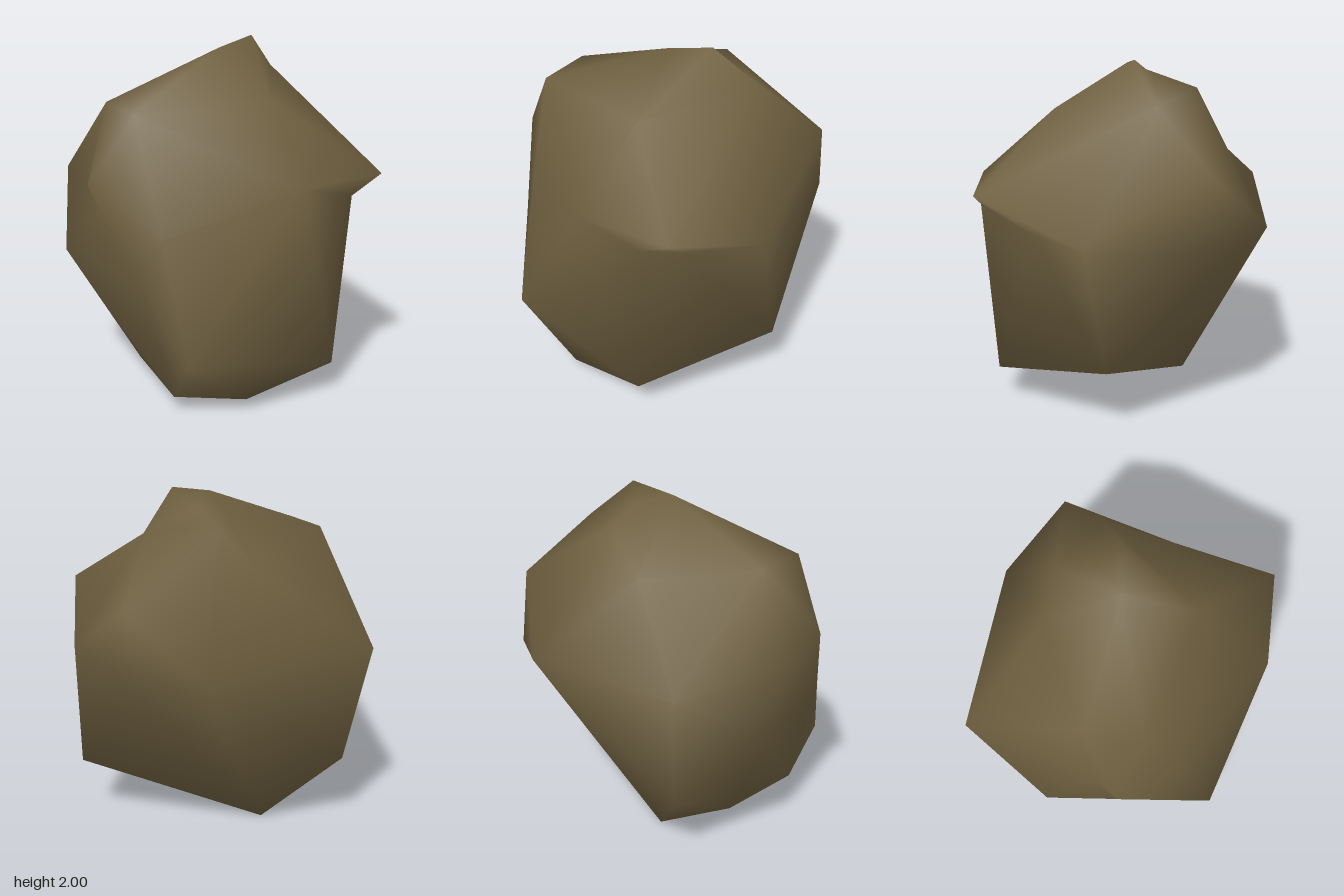
import * as THREE from 'three';
import { mergeVertices } from 'three/addons/utils/BufferGeometryUtils.js';
import { ConvexGeometry } from 'three/addons/geometries/ConvexGeometry.js';

// Corners of the boulder
const corners = [
  // crown, with shallow dips behind the peak
  [0.29, 2.0, -0.09], [0.05, 1.95, 0], [0.49, 1.79, -0.25], [0.11, 1.83, -0.41],
  [-0.64, 1.69, 0.04], [-0.58, 1.68, 0.37], [0.18, 1.9, -0.18], [-0.1, 1.59, -0.4],
  [0.2, 1.7, 0.39],
  // overhanging front ledge and the hollow below it
  [0.2, 1.31, 0.83], [0.74, 1.31, 0.7], [0.85, 1.07, 0.07],
  [0.54, 1.21, 0.73], [0.58, 1.06, 0.42],
  // back and +x side
  [0.69, 1.46, -0.59], [0.65, 1.05, -0.67], [0.3, 1.1, -0.84], [0.85, 0.39, -0.05],
  // -x side with its notch, and the two ridges down to the front foot
  [-0.7, 1.16, -0.67], [-0.83, 1.3, 0.3], [-0.86, 0.8, -0.13], [-0.72, 1.09, 0.11],
  [-0.59, 0.45, -0.56], [-0.51, 1.03, 0.58], [-0.64, 0.84, 0.53], [-0.44, 0.37, 0.78],
  // foot
  [-0.44, 0.09, 0.55], [-0.46, 0.1, 0], [-0.06, 0.07, 0.69], [0.48, 0.2, 0.68],
  [-0.18, 0, -0.31],
].map((p) => new THREE.Vector3(...p));

// Join the corners as seen from the core, so hollows survive, then restore their distances
function boulderGeometry() {
  const core = new THREE.Vector3(0, 1, 0);
  const directions = corners.map((c) => c.clone().sub(core).normalize());
  const hull = new ConvexGeometry(directions);
  const pos = hull.attributes.position;
  const v = new THREE.Vector3();
  for (let i = 0; i < pos.count; i++) {
    v.fromBufferAttribute(pos, i);
    let best = 0;
    directions.forEach((d, k) => { if (d.dot(v) > directions[best].dot(v)) best = k; });
    pos.setXYZ(i, corners[best].x, corners[best].y, corners[best].z);
  }
  hull.deleteAttribute('normal');
  const geometry = mergeVertices(hull);
  geometry.computeVertexNormals();
  return geometry;
}

export function createModel() {
  const group = new THREE.Group();
  group.name = 'rock';
  const stone = new THREE.MeshStandardMaterial({ color: 0x6f6040 });
  stone.name = 'brown stone';
  const boulder = new THREE.Mesh(boulderGeometry(), stone);
  boulder.name = 'boulder';
  group.add(boulder);
  return group;
}
